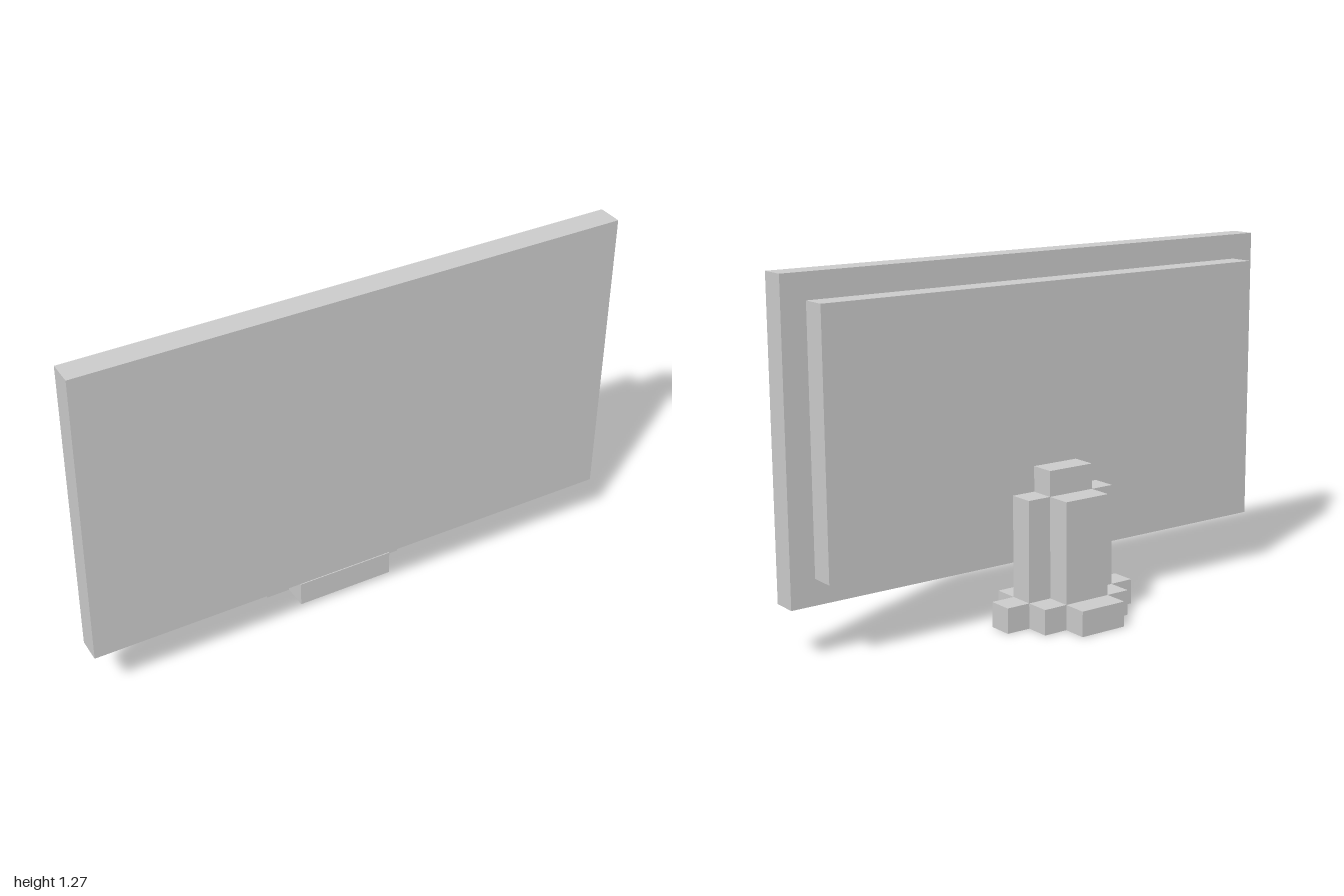
import * as THREE from 'three';

const U = 1 / 11; // one block
const material = new THREE.MeshStandardMaterial({ color: 0xcccccc, flatShading: true });

function add(group, name, geometry) {
  geometry.scale(U, U, U);
  const mesh = new THREE.Mesh(geometry, material);
  mesh.name = name;
  group.add(mesh);
}

// Box centred on x, given in block units by its half width and its y and z ranges
function block(halfWidth, y0, y1, z0, z1) {
  return new THREE.BoxGeometry(2 * halfWidth, y1 - y0, z1 - z0)
    .translate(0, (y0 + y1) / 2, (z0 + z1) / 2);
}

// Upright prism with a stepped outline: one block deep rows of given half widths, front to back
function steppedPrism(halfWidths, zFront, y0, y1) {
  const right = halfWidths.flatMap((w, i) => [
    new THREE.Vector2(w, i - zFront),
    new THREE.Vector2(w, i + 1 - zFront),
  ]);
  const left = right.map((p) => new THREE.Vector2(-p.x, p.y)).reverse();
  const shape = new THREE.Shape([...right, ...left]);
  return new THREE.ExtrudeGeometry(shape, { depth: y1 - y0, bevelEnabled: false })
    .rotateX(-Math.PI / 2)
    .translate(0, y0, 0);
}

export function createModel() {
  const model = new THREE.Group();
  model.name = 'monitor';

  // Display
  add(model, 'screen', block(11, 2, 14, 1.5, 2.5));
  add(model, 'backPanel', block(10, 3, 13, 0.5, 1.5));

  // Stand
  add(model, 'base', steppedPrism([2, 3, 2, 1], 1.5, 0, 1));
  add(model, 'column', steppedPrism([2, 1], 0.5, 1, 5));
  add(model, 'columnTop', block(1, 5, 6, -0.5, 0.5));

  return model;
}
